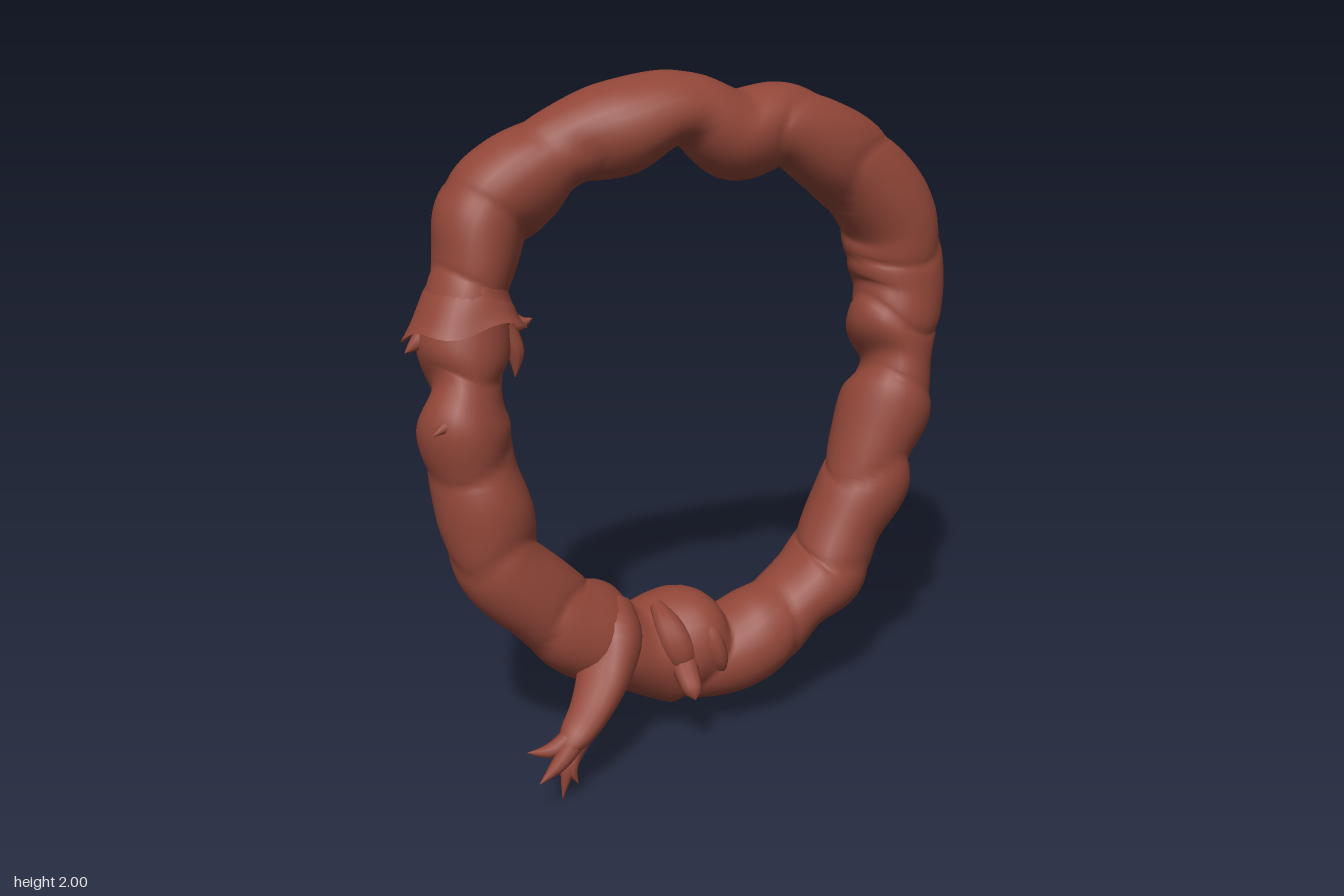
import * as THREE from 'three';

const bark = new THREE.MeshStandardMaterial({ color: 0x914638, side: THREE.DoubleSide });
bark.name = 'redBrownBark';

// Smooth interpolation through rows of [x, y, z, radius]
function sample(rows, u, closed) {
  const n = rows.length;
  const i = Math.floor(u), f = u - i;
  const at = (k) => rows[closed ? ((k % n) + n) % n : Math.min(Math.max(k, 0), n - 1)];
  const [p, a, b, q] = [at(i - 1), at(i), at(i + 1), at(i + 2)];
  return a.map((v, k) => v + 0.5 * f * (b[k] - p[k]
    + f * (2 * p[k] - 5 * v + 4 * b[k] - q[k] + f * (3 * (v - b[k]) + q[k] - p[k]))));
}

// Tube of varying radius; shape(angle, u) gives [radius scale, slide along the path]
function limb(name, rows, { closed = false, sides = 16, steps = 4, shape = () => [1, 0], depth = (r) => r, up = [0, 0, 1] } = {}) {
  const spans = closed ? rows.length : rows.length - 1;
  const rings = spans * steps, pos = [], index = [];
  const ref = new THREE.Vector3(...up);
  const last = closed ? rings - 1 : rings;
  for (let i = 0; i <= last; i++) {
    const u = i / steps;
    const c = sample(rows, u, closed);
    const lo = closed ? u - 0.6 : Math.max(u - 0.3, 0);
    const hi = closed ? u + 0.6 : Math.min(u + 0.3, spans);
    const A = new THREE.Vector3(...sample(rows, lo, closed));
    const t = new THREE.Vector3(...sample(rows, hi, closed)).sub(A).normalize();
    const n = new THREE.Vector3().crossVectors(t, ref).normalize();
    const b = new THREE.Vector3().crossVectors(t, n);
    for (let j = 0; j < sides; j++) {
      const a = (j / sides) * Math.PI * 2;
      const [s, slide] = shape(a, u);
      const r = Math.max(c[3], 0.001);
      const p = new THREE.Vector3(c[0], c[1], c[2])
        .addScaledVector(n, Math.cos(a) * r * s)
        .addScaledVector(b, Math.sin(a) * depth(r) * s)
        .addScaledVector(t, slide);
      pos.push(p.x, p.y, p.z);
    }
  }
  const total = last + 1;
  for (let i = 0; i < (closed ? total : total - 1); i++) {
    for (let j = 0; j < sides; j++) {
      const k = (j + 1) % sides, m = (i + 1) % total;
      const p = i * sides + j, q = i * sides + k, r = m * sides + j, s = m * sides + k;
      index.push(p, q, r, q, s, r);
    }
  }
  const g = new THREE.BufferGeometry();
  g.setAttribute('position', new THREE.Float32BufferAttribute(pos, 3));
  g.setIndex(index);
  g.computeVertexNormals();
  const mesh = new THREE.Mesh(g, bark);
  mesh.name = name;
  return mesh;
}

export function createModel() {
  const model = new THREE.Group();
  model.name = 'twistedBranchRing';

  // Lumpy main ring, clockwise from the top
  const ring = [
    [-0.02, 1.885, -0.16, 0.112], [0.14, 1.80, -0.17, 0.13], [0.30, 1.815, -0.18, 0.125],
    [0.45, 1.74, -0.19, 0.135], [0.575, 1.645, -0.215, 0.148], [0.69, 1.51, -0.22, 0.15],
    [0.715, 1.38, -0.215, 0.158], [0.725, 1.27, -0.20, 0.142], [0.695, 1.16, -0.175, 0.148],
    [0.70, 1.06, -0.15, 0.108], [0.67, 0.94, -0.13, 0.148], [0.605, 0.80, -0.11, 0.132],
    [0.57, 0.68, -0.095, 0.142], [0.485, 0.54, -0.08, 0.125], [0.41, 0.405, -0.05, 0.137],
    [0.29, 0.345, -0.02, 0.112], [0.17, 0.272, 0.005, 0.138], [0.03, 0.225, 0.0, 0.137],
    [-0.09, 0.265, -0.015, 0.18], [-0.25, 0.28, 0.0, 0.13], [-0.37, 0.355, 0.015, 0.145],
    [-0.47, 0.42, 0.02, 0.138], [-0.55, 0.51, 0.02, 0.125], [-0.66, 0.64, 0.015, 0.13],
    [-0.69, 0.79, -0.005, 0.138], [-0.72, 0.92, -0.025, 0.128], [-0.735, 1.05, -0.035, 0.135],
    [-0.72, 1.14, -0.06, 0.1], [-0.71, 1.24, -0.10, 0.132], [-0.68, 1.40, -0.14, 0.118],
    [-0.65, 1.49, -0.165, 0.122], [-0.605, 1.62, -0.20, 0.147], [-0.49, 1.715, -0.21, 0.14],
    [-0.37, 1.79, -0.20, 0.118], [-0.20, 1.84, -0.17, 0.135],
  ];
  // Bulges with tight, slanted creases; the section leans along the sides
  const bumps = (a, u) => {
    const w = (u / 35) * Math.PI * 2;
    const fold = Math.abs(Math.sin(9 * w + 0.45 * Math.sin(a + 5 * w) + 0.35 * Math.sin(2 * a - 3 * w)));
    return [0.92 + 0.11 * Math.sqrt(fold) + 0.02 * Math.sin(3 * a + 7 * w) - 0.05 * Math.sin(2 * a) * Math.sin(w),
      0.02 * Math.sin(2 * a + 4 * w)];
  };
  model.add(limb('mainRing', ring, {
    closed: true, sides: 28, steps: 9, shape: bumps, depth: (r) => 0.5 * r + 0.083,
  }));

  // Torn collar of bark on the right side, flaring sideways to ragged points
  const ragged = (a, u) => {
    const k = Math.max(u - 1, 0) / 2;
    return [1 + 0.04 * k * Math.sin(5 * a), k * (0.025 * Math.cos(a) + 0.015 * Math.sin(4 * a))];
  };
  model.add(limb('tornCollar', [
    [-0.665, 1.44, -0.15, 0.10], [-0.68, 1.39, -0.14, 0.128],
    [-0.69, 1.345, -0.125, 0.15], [-0.695, 1.305, -0.115, 0.18],
  ], { sides: 36, shape: ragged, depth: (r) => 0.35 * r + 0.1 }));

  // Forward-bent arm that splits into twigs
  model.add(limb('arm', [
    [-0.33, 0.41, 0.0, 0.09], [-0.345, 0.355, 0.075, 0.105], [-0.39, 0.28, 0.15, 0.082],
    [-0.46, 0.215, 0.225, 0.062], [-0.53, 0.17, 0.28, 0.046], [-0.58, 0.14, 0.305, 0.012],
  ], { shape: (a) => [1 + 0.1 * Math.sin(3 * a), 0] }));

  // Thin pointed twigs and splinters: start, middle, tip, base radius
  const twigs = [
    ['upperTwig', [-0.50, 0.19, 0.26], [-0.60, 0.155, 0.295], [-0.68, 0.17, 0.31], 0.035],
    ['middleTwig', [-0.50, 0.18, 0.26], [-0.59, 0.13, 0.33], [-0.67, 0.11, 0.39], 0.035],
    ['lowerTwig', [-0.50, 0.17, 0.26], [-0.555, 0.10, 0.30], [-0.58, 0.0, 0.31], 0.036],
    ['shortTwig', [-0.51, 0.17, 0.27], [-0.55, 0.10, 0.31], [-0.535, 0.045, 0.32], 0.028],
    ['outerSplinter', [-0.74, 1.20, -0.03], [-0.78, 1.11, 0.05], [-0.86, 1.08, 0.11], 0.045],
    ['lowerSplinter', [-0.73, 1.19, -0.03], [-0.765, 1.11, 0.06], [-0.77, 1.04, 0.11], 0.045],
    ['innerSplinter', [-0.60, 1.31, -0.08], [-0.57, 1.24, -0.06], [-0.575, 1.17, -0.05], 0.04],
    ['collarTip', [-0.61, 1.33, -0.10], [-0.55, 1.315, -0.09], [-0.51, 1.33, -0.08], 0.035],
    ['collarOuterTip', [-0.78, 1.33, -0.11], [-0.84, 1.29, -0.10], [-0.88, 1.265, -0.09], 0.035],
  ];
  for (const [name, a, b, c, r] of twigs) {
    model.add(limb(name, [[...a, r], [...b, r * 0.7], [...c, 0.001]], { sides: 8 }));
  }

  // Folded bark ridges at the bottom front, with a small stub
  model.add(limb('barkRidge', [
    [-0.18, 0.42, 0.02, 0.02], [-0.165, 0.37, 0.09, 0.045], [-0.14, 0.29, 0.12, 0.05], [-0.10, 0.18, 0.11, 0.005],
  ], { sides: 10, up: [1, 0, 0] }));
  model.add(limb('barkRidgeSmall', [
    [-0.06, 0.41, 0.03, 0.02], [-0.045, 0.34, 0.11, 0.035], [-0.02, 0.26, 0.13, 0.03], [0.0, 0.20, 0.12, 0.005],
  ], { sides: 10, up: [1, 0, 0] }));
  model.add(limb('frontStub', [
    [-0.13, 0.29, 0.09, 0.05], [-0.135, 0.245, 0.16, 0.038], [-0.135, 0.21, 0.21, 0.028], [-0.135, 0.19, 0.23, 0.001],
  ], { sides: 10, up: [1, 0, 0] }));

  return model;
}
